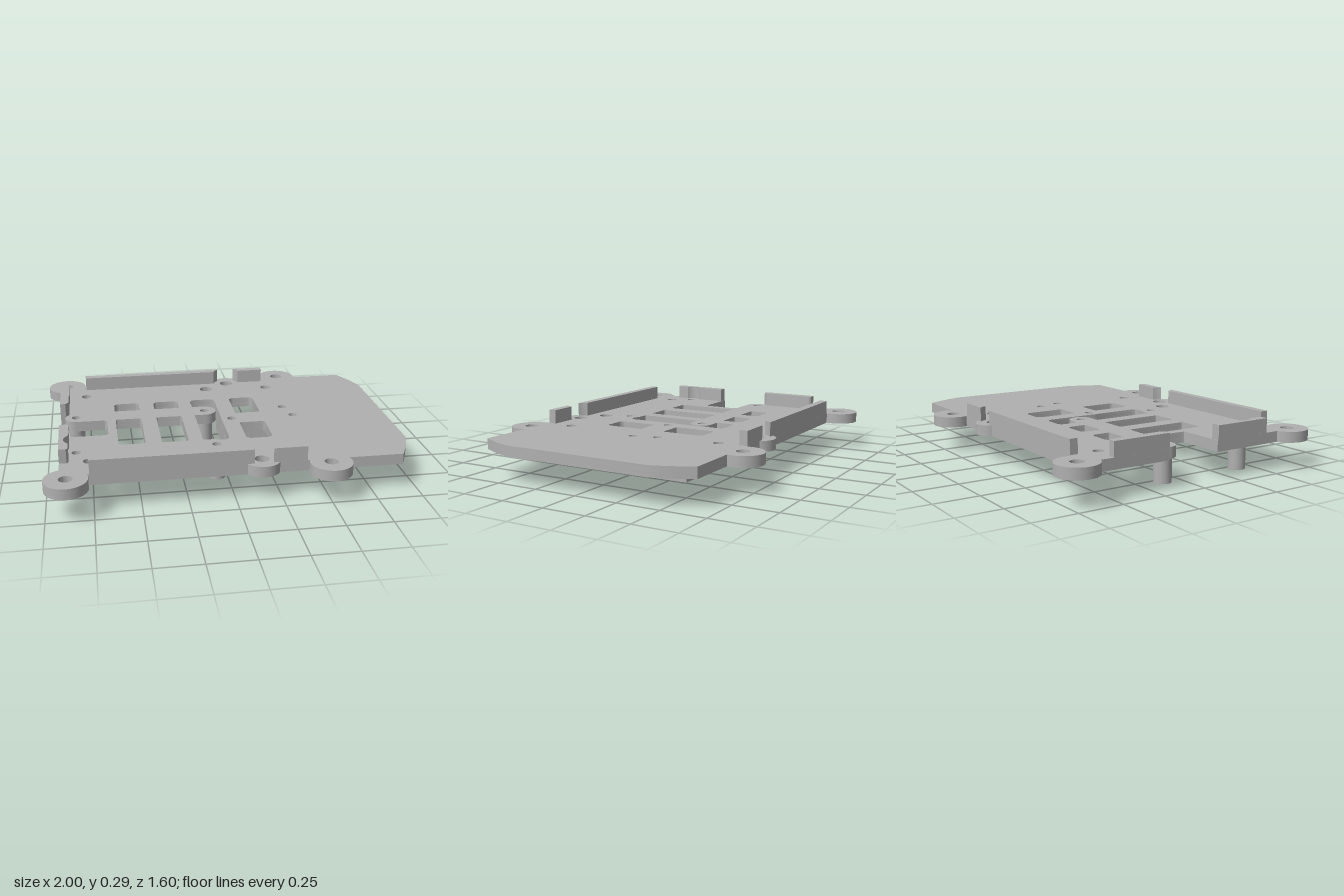
import * as THREE from 'three';
import { toCreasedNormals } from 'three/addons/utils/BufferGeometryUtils.js';

// All outlines are lists of [x, z] seen from above.
const arc = (x, z, r, a0, a1, n = 20) => Array.from({ length: n + 1 }, (_, i) => {
  const a = a0 + (a1 - a0) * i / n;
  return [x + r * Math.cos(a), z + r * Math.sin(a)];
});
const circle = (x, z, r) => arc(x, z, r, 0, Math.PI * 2, 28).slice(0, -1);
const rect = (x0, x1, z0, z1) => [[x0, z0], [x1, z0], [x1, z1], [x0, z1]];
const mirrorZ = (pts) => pts.map(([x, z]) => [x, -z]).reverse();

// Rectangle with separate corner radii at its back and front ends
function windowOutline(x0, x1, z0, z1, rb, rf) {
  const P = Math.PI;
  return [
    ...arc(x0 + rb, z0 + rb, rb, P, 1.5 * P, 5), ...arc(x1 - rb, z0 + rb, rb, 1.5 * P, 2 * P, 5),
    ...arc(x1 - rf, z1 - rf, rf, 0, P / 2, 5), ...arc(x0 + rf, z1 - rf, rf, P / 2, P, 5),
  ];
}

export function createModel() {
  const group = new THREE.Group();
  group.name = 'mountingPlate';
  const grey = new THREE.MeshStandardMaterial({ color: 0xb0b0b0 });
  grey.name = 'grey plastic';

  // Vertical prism between two heights
  function prism(name, outline, holes, y0, y1) {
    const vec = (pts) => pts.map(([x, z]) => new THREE.Vector2(x, -z));
    const shape = new THREE.Shape(vec(outline));
    shape.holes = holes.map((h) => new THREE.Path(vec(h)));
    const geo = new THREE.ExtrudeGeometry(shape, { depth: y1 - y0, bevelEnabled: false });
    geo.rotateX(-Math.PI / 2).translate(0, y0, 0);
    const mesh = new THREE.Mesh(toCreasedNormals(geo, 0.5), grey);
    mesh.name = name;
    group.add(mesh);
  }

  const P = Math.PI, bottom = 0.15, step = 0.18, top = 0.21, wallTop = 0.29;

  // Plate outline: ears, side bump and tapered end, mirrored front to back
  const side = [
    ...arc(-0.885, 0.685, 0.115, 4.4, -0.309, 32),
    ...arc(0.145, 0.6, 0.1, P - 0.524, 0.524),
    ...arc(0.5, 0.685, 0.115, P + 0.309, -0.309, 28),
    [0.91, 0.65], [0.945, 0.58], [0.975, 0.51], [1, 0.43],
  ];
  const outline = [
    [-0.92, 0.15], ...side, ...mirrorZ(side),
    [-0.92, -0.165], ...arc(-0.83, -0.135, 0.065, P + 0.5, P / 2, 10),
    [-0.665, -0.07], [-0.65, -0.055], [-0.65, 0.13], [-0.655, 0.145], [-0.67, 0.15],
  ];

  // Windows, the third one with a rounded tongue reaching into it
  const windows = [
    windowOutline(0.115, 0.265, -0.32, -0.07, 0.03, 0.01),
    windowOutline(0.115, 0.265, 0.08, 0.315, 0.01, 0.03),
    [
      [-0.1, -0.32], [-0.122, -0.312], [-0.13, -0.29], [-0.13, -0.205],
      ...arc(-0.063, -0.1375, 0.0675, -P / 2, P / 2, 14),
      [-0.13, -0.07], [-0.13, 0.3], [-0.07, 0.3], [-0.03, 0.312], [-0.01, 0.315], [0.012, 0.305], [0.02, 0.285],
      [0.02, 0.04], [0.015, 0.01], [0.02, -0.02], [0.02, -0.29], [0.012, -0.312], [-0.01, -0.32],
    ],
  ];
  for (const x of [-0.6, -0.36]) {
    windows.push(windowOutline(x, x + 0.15, -0.32, -0.205, 0.03, 0.005));
    windows.push(windowOutline(x, x + 0.15, -0.07, 0.3, 0.01, 0.01));
  }

  // Screw holes: [x, z, radius above, radius below]
  const standoffs = [[-0.83, -0.138], [-0.83, 0.368], [-0.063, -0.138], [-0.063, 0.368],
    [0.08, 0.01], [0.45, 0.01], [0.418, -0.128]];
  const screws = standoffs.map(([x, z]) => [x, z, 0.025, 0.025]);
  for (const s of [-1, 1]) {
    screws.push([-0.885, s * 0.685, 0.037, 0.07], [0.5, s * 0.685, 0.037, 0.07],
      [-0.765, s * 0.485, 0.03, 0.055], [0.385, s * 0.485, 0.03, 0.055],
      [0, s * 0.508, 0.04, 0.04], [0.145, s * 0.596, 0.04, 0.04]);
  }
  prism('plateTop', outline, [...windows, ...screws.map(([x, z, r]) => circle(x, z, r))], step, top);
  prism('plateUnderside', outline, [...windows, ...screws.map(([x, z, , r]) => circle(x, z, r))], bottom, step);

  // Hollow standoffs under the plate
  for (const [x, z] of standoffs) prism('standoff', circle(x, z, 0.048), [circle(x, z, 0.024)], 0.015, bottom);

  // Side rails
  const longRail = [[-0.765, 0.605], [0.065, 0.605], [0.075, 0.63], [0.095, 0.65], [-0.765, 0.65]];
  const shortRail = [[0.225, 0.605], [0.38, 0.605], [0.38, 0.65], [0.197, 0.65], [0.215, 0.63]];
  for (const flip of [(p) => p, mirrorZ]) {
    prism('longRail', flip(longRail), [], top, wallTop);
    prism('shortRail', flip(shortRail), [], top, wallTop);
  }

  // End walls, the front one scooped out around its standoff
  prism('backEndWall', [[-0.92, -0.5], [-0.88, -0.5], [-0.87, -0.49], [-0.87, -0.19], [-0.89, -0.165], [-0.92, -0.165]],
    [], top, wallTop);
  prism('frontEndWall', [[-0.92, 0.155], [-0.87, 0.155],
    ...arc(-0.83, 0.368, 0.065, P + 0.9, P - 0.9, 12),
    [-0.87, 0.485], [-0.88, 0.495], [-0.92, 0.495]], [], top, wallTop);

  // Open housing below the plate, with a rounded post on its end
  prism('housing', rect(0.04, 0.49, -0.35, -0.045), [rect(0.065, 0.465, -0.325, -0.07)], 0, bottom);
  prism('housingPost', circle(0.472, -0.12, 0.045), [], 0.015, bottom);

  return group;
}
